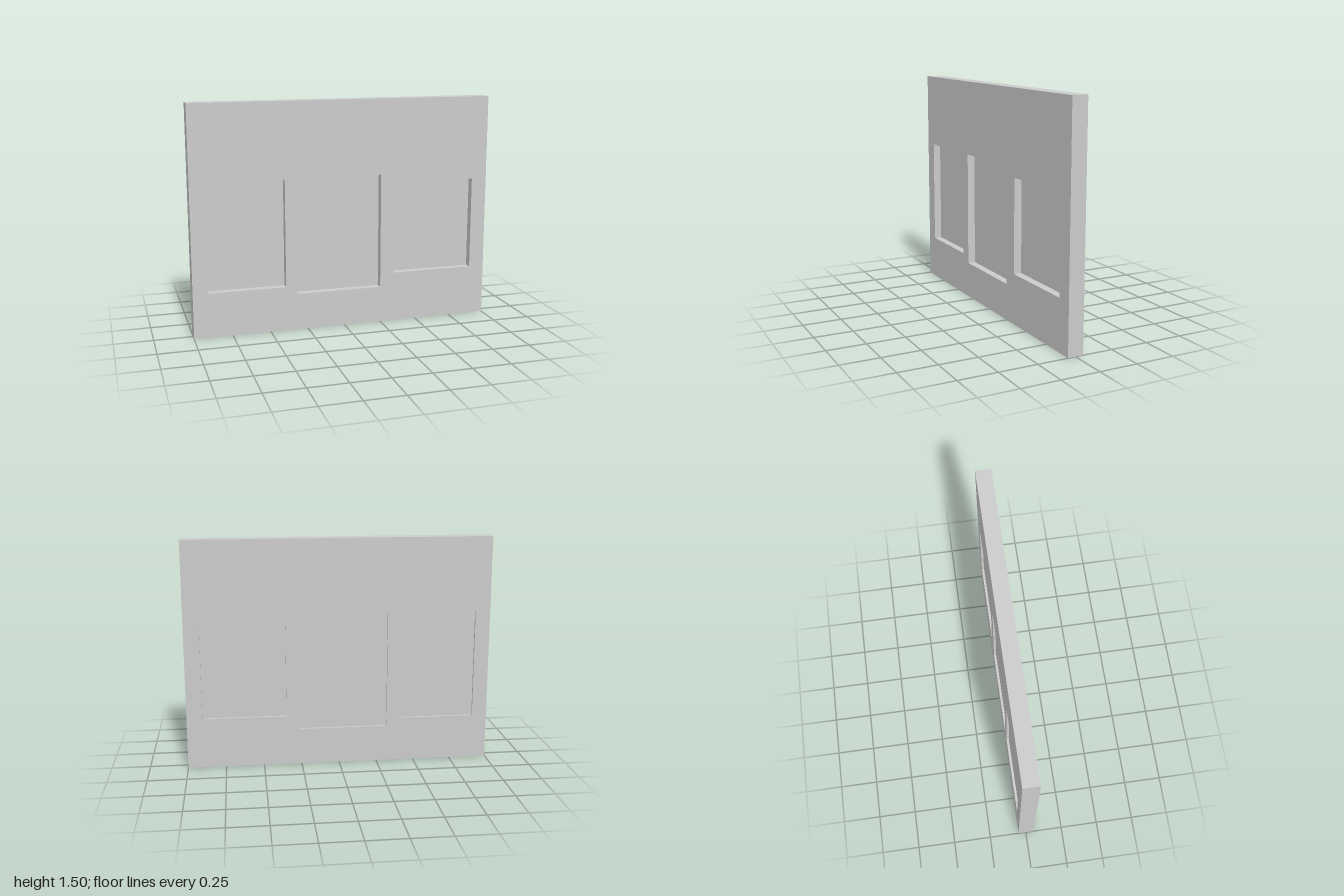
import * as THREE from 'three';

const WIDTH = 2, HEIGHT = 1.5, DEPTH = 0.102;
const PANE_FRONT = 0, PANE_BACK = -0.035;

// Window openings: left, bottom, right, top
const openings = [
  { name: 'rightWindowPane', x0: -0.903, y0: 0.294, x1: -0.395, y1: 1.005 },
  { name: 'middleWindowPane', x0: -0.32, y0: 0.241, x1: 0.251, y1: 1.005 },
  { name: 'leftWindowPane', x0: 0.348, y0: 0.332, x1: 0.898, y1: 0.947 },
];

function rectangle(PathType, x0, y0, x1, y1) {
  const path = new PathType();
  path.moveTo(x0, y0);
  path.lineTo(x1, y0);
  path.lineTo(x1, y1);
  path.lineTo(x0, y1);
  path.closePath();
  return path;
}

export function createModel() {
  const group = new THREE.Group();
  group.name = 'wallWithWindows';
  const material = new THREE.MeshStandardMaterial({ color: 0xcccccc });

  // Wall slab with three cut openings
  const outline = rectangle(THREE.Shape, -WIDTH / 2, 0, WIDTH / 2, HEIGHT);
  for (const o of openings) outline.holes.push(rectangle(THREE.Path, o.x0, o.y0, o.x1, o.y1));
  const wallGeometry = new THREE.ExtrudeGeometry(outline, { depth: DEPTH, bevelEnabled: false });
  wallGeometry.translate(0, 0, -DEPTH / 2);
  const wall = new THREE.Mesh(wallGeometry, material);
  wall.name = 'wall';
  group.add(wall);

  // Panes: deep reveal at the front, shallow one at the back
  for (const o of openings) {
    const pane = new THREE.Mesh(
      new THREE.BoxGeometry(o.x1 - o.x0, o.y1 - o.y0, PANE_FRONT - PANE_BACK), material);
    pane.position.set((o.x0 + o.x1) / 2, (o.y0 + o.y1) / 2, (PANE_FRONT + PANE_BACK) / 2);
    pane.name = o.name;
    group.add(pane);
  }
  return group;
}
